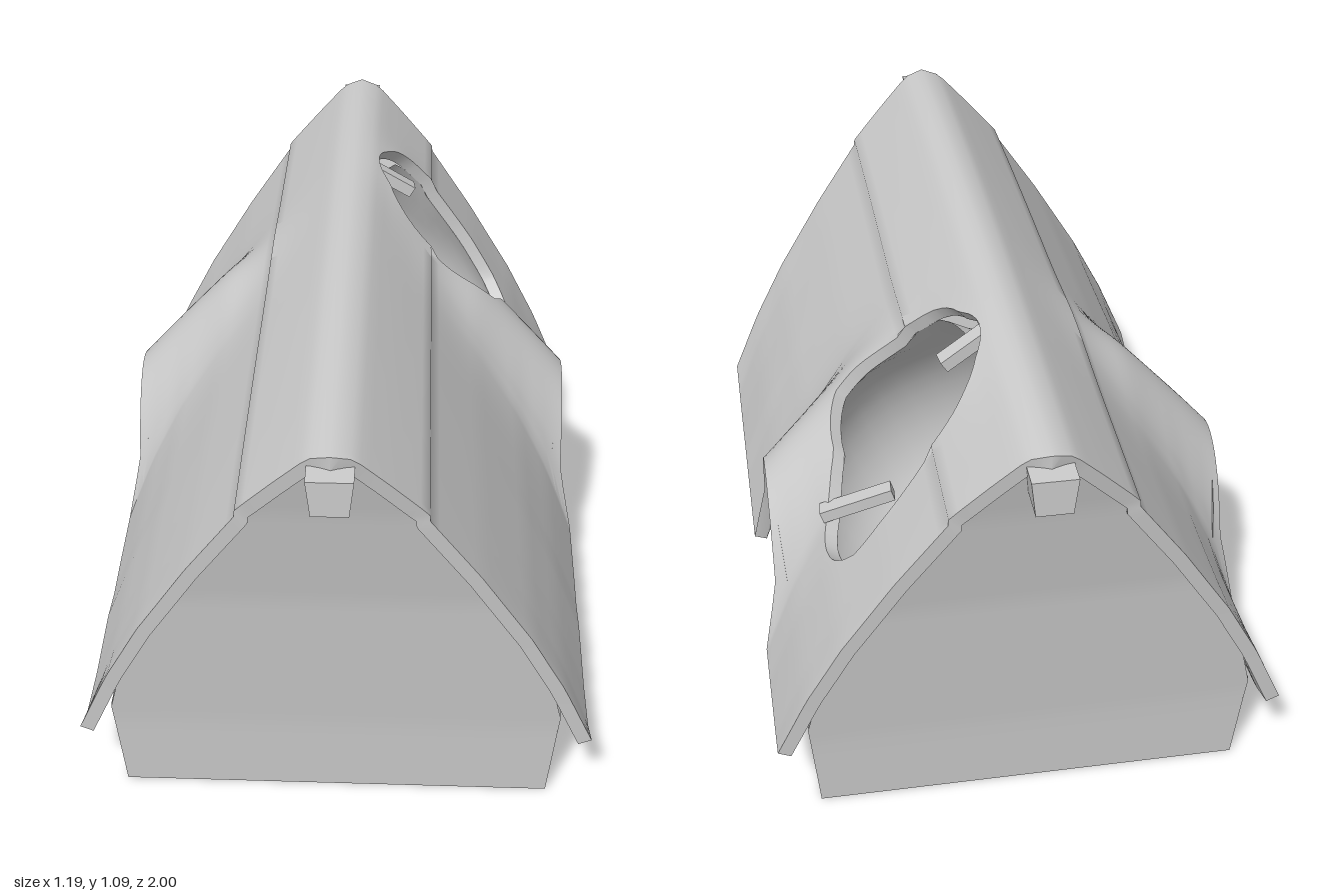
import * as THREE from 'three';
import { toCreasedNormals } from 'three/addons/utils/BufferGeometryUtils.js';

const material = new THREE.MeshStandardMaterial({ color: 0xcccccc, side: THREE.DoubleSide });
const { lerp, clamp, smoothstep } = THREE.MathUtils;

// Linear interpolation through [x, y] pairs
function along(points, x) {
  let k = 1;
  while (k < points.length - 1 && points[k][0] < x) k++;
  const [a, b] = [points[k - 1], points[k]];
  return lerp(a[1], b[1], clamp((x - a[0]) / (b[0] - a[0]), 0, 1));
}

function addMesh(parent, name, geometry) {
  const mesh = new THREE.Mesh(geometry, material);
  mesh.name = name;
  parent.add(mesh);
  return mesh;
}

// Open sheet from a rule (u, v in 0..1) -> [x, y, z]
function sheet(rule, nu, nv) {
  const positions = [], index = [];
  for (let i = 0; i <= nu; i++) for (let j = 0; j <= nv; j++) {
    positions.push(...rule(i / nu, j / nv));
    if (i < nu && j < nv) {
      const a = i * (nv + 1) + j, b = a + nv + 1;
      index.push(a, b, b + 1, a, b + 1, a + 1);
    }
  }
  const g = new THREE.BufferGeometry();
  g.setAttribute('position', new THREE.Float32BufferAttribute(positions, 3));
  g.setIndex(index);
  g.computeVertexNormals();
  return g;
}

// Roof rules: t runs from ridge (0) to eave (1)
const SPAN = 0.595, DOOR_Z = -0.215, THICK = 0.033, CAP = 0.346;
const slope = [[0, 1.048], [0.08, 1.034], [0.2, 0.96], [0.34, 0.87], [0.54, 0.7], [0.74, 0.51], [0.88, 0.35], [1, 0.18]];
const dormer = [[0, 1.078], [0.1, 1.055], [0.33, 0.94], [0.54, 0.83], [1, 0.57]];
const eave = [[-0.83, 0.185], [-0.75, 0.16], [-0.54, 0.14], [-0.42, 0.155], [0, 0.172], [0.2, 0.16],
  [0.3, 0.15], [0.4, 0.158], [0.6, 0.14], [0.74, 0.145], [0.83, 0.18]];
const roofEnd = t => along([[0, 0.96], [0.34, 0.905], [1, 0.83]], t);
const archAt = z => Math.pow(Math.max(0, 1 - ((z - DOOR_Z) / 0.215) ** 2), 0.62);

function profile(t, z) {
  const sag = 0.03 * (1 - (z / 0.96) ** 2) * (1 - t * t);
  const wave = t ** 6 * (along(eave, z) - 0.165);
  const swell = Math.exp(-(((z - DOOR_Z) / 0.19) ** 2)) * smoothstep(t, 0.1, 0.6);
  const w = lerp(swell, archAt(z), t ** 4);
  const cap = t < CAP ? 0.014 : 0;
  return [lerp(SPAN, 0.56, Math.min(1, 2.2 * w) * t * t) * t, lerp(along(slope, t) + sag + wave, along(dormer, t), w) + cap];
}

function roofPoint(s, z, depth) {
  const t = Math.abs(s), side = Math.sign(s);
  const [x, y] = profile(t, z);
  const a = profile(Math.max(0, t - 0.03), z), b = profile(Math.min(1, t + 0.03), z);
  const len = Math.hypot(b[0] - a[0], b[1] - a[1]);
  const nx = t === 0 ? 0 : (a[1] - b[1]) / len, ny = t === 0 ? 1 : (b[0] - a[0]) / len;
  // torn thatch stands up a little above the hole
  const torn = 0.025 * Math.exp(-(((s - 0.23) / 0.1) ** 2) - ((z + 0.43) / 0.18) ** 2);
  return [side * (x - nx * depth), y - ny * depth + torn, z];
}

// Ragged hole in the left slope, given as radii every 30 degrees
const HOLE = { x: 0.26, z: -0.43, radii: [0.17, 0.17, 0.25, 0.24, 0.225, 0.19, 0.197, 0.2, 0.225, 0.232, 0.248, 0.205] };
function holeEdge(angle) {
  const f = ((angle / (Math.PI * 2) + 1) % 1) * 12, k = Math.floor(f) % 12;
  const r = lerp(HOLE.radii[k], HOLE.radii[(k + 1) % 12], f - Math.floor(f));
  return { r, s: (HOLE.x + r * Math.cos(angle)) / SPAN, z: HOLE.z + r * Math.sin(angle) };
}

// Thick roof shell, with the hole's border cells pulled onto its outline
function roofGeometry() {
  const half = [];
  for (let k = 0; k <= 10; k++) half.push(k * 0.0345);
  for (let k = 0; k <= 20; k++) half.push(lerp(0.347, 1, k / 20));
  const cols = [...half.slice(1).reverse().map(t => -t), ...half];
  const rows = 96;
  const points = cols.map(s => Array.from({ length: rows + 1 }, (_, j) => {
    const z = (j / rows * 2 - 1) * roofEnd(Math.abs(s));
    const dx = s * SPAN - HOLE.x, dz = z - HOLE.z;
    const edge = holeEdge(Math.atan2(dz, dx)), inside = Math.hypot(dx, dz) < edge.r;
    const at = inside ? edge : { s, z };
    return { inside, top: roofPoint(at.s, at.z, 0), under: roofPoint(at.s, at.z, THICK) };
  }));
  const kept = (i, j) => i >= 0 && j >= 0 && i < cols.length - 1 && j < rows &&
    ![points[i][j], points[i + 1][j], points[i][j + 1], points[i + 1][j + 1]].every(p => p.inside);
  const out = [];
  const quad = (a, b, c, d) => out.push(...a, ...b, ...c, ...a, ...c, ...d);
  const rim = (p, q) => quad(p.top, q.top, q.under, p.under);
  for (let i = 0; i < cols.length - 1; i++) for (let j = 0; j < rows; j++) {
    if (!kept(i, j)) continue;
    const a = points[i][j], b = points[i + 1][j], c = points[i + 1][j + 1], d = points[i][j + 1];
    quad(a.top, d.top, c.top, b.top);
    quad(a.under, b.under, c.under, d.under);
    if (!kept(i - 1, j)) rim(d, a);
    if (!kept(i + 1, j)) rim(b, c);
    if (!kept(i, j - 1)) rim(a, b);
    if (!kept(i, j + 1)) rim(c, d);
  }
  const g = new THREE.BufferGeometry();
  g.setAttribute('position', new THREE.Float32BufferAttribute(out, 3));
  return toCreasedNormals(g, 0.75);
}

// Rounded hollow hanging from the hole's outline, its top edge level below the ridge beam
function hollowGeometry() {
  const center = new THREE.Vector3(0.13, 0.49, -0.39), low = new THREE.Vector3(-0.4, -0.92, 0).normalize();
  return sheet((u, v) => {
    const edge = holeEdge(u * Math.PI * 2);
    const arm = new THREE.Vector3(...roofPoint(edge.s, edge.z, THICK));
    arm.y = Math.min(arm.y, 0.965);
    arm.sub(center);
    const radius = lerp(arm.length(), 0.39, Math.sqrt(v));
    const turn = arm.normalize().angleTo(low);
    return arm.multiplyScalar(Math.sin((1 - v) * turn)).addScaledVector(low, Math.sin(v * turn))
      .multiplyScalar(radius / Math.sin(turn)).add(center).toArray();
  }, 48, 20);
}

export function createModel() {
  const model = new THREE.Group();
  model.name = 'thatchedHut';
  addMesh(model, 'thatchRoof', roofGeometry());
  addMesh(model, 'hollow', hollowGeometry());

  // Walls: leaning gables at both ends, low sides rising into the door arches
  const gableZ = y => along([[0, 0.793], [0.2, 0.805], [0.6, 0.85], [0.87, 0.9], [1.03, 0.94]], y);
  const gableX = y => along([[0, 0.5], [0.24, 0.522], [0.35, 0.495], [0.51, 0.415], [0.7, 0.295], [0.87, 0.175], [1.02, 0.03]], y);
  for (const side of [1, -1]) {
    addMesh(model, side > 0 ? 'frontGable' : 'backGable', sheet((u, v) => {
      const y = v * 1.02;
      return [side * (u * 2 - 1) * gableX(y), y, side * gableZ(y)];
    }, 8, 34));
    addMesh(model, side > 0 ? 'leftWall' : 'rightWall', sheet((u, v) => {
      const z = (u * 2 - 1) * 0.793, arch = archAt(DOOR_Z + (z - DOOR_Z) * 0.94);
      const y = v * (0.25 + 0.305 * arch);
      return [side * (0.5 + 0.085 * y), y, (u * 2 - 1) * gableZ(Math.min(y, 0.24))];
    }, 120, 6));
  }

  // Ridge beam, tapered downward and bowed along its length
  const beam = new THREE.BoxGeometry(0.1, 0.085, 2, 1, 1, 12);
  const p = beam.attributes.position;
  for (let i = 0; i < p.count; i++) {
    if (p.getY(i) < 0) p.setX(i, p.getX(i) * 0.8);
    p.setY(i, p.getY(i) + 0.985 + 0.025 * (1 - p.getZ(i) ** 2));
  }
  beam.computeVertexNormals();
  addMesh(model, 'ridgeBeam', beam);

  // Broken rafter stubs across the hole
  for (const [x0, y0, x1, y1, tilt] of [[0.04, 1.04, 0.15, 0.97, 0.12], [0.27, 0.625, 0.44, 0.57, -0.06]]) {
    const stub = addMesh(model, 'brokenRafter', new THREE.BoxGeometry(Math.hypot(x1 - x0, y1 - y0), 0.03, 0.04));
    stub.position.set((x0 + x1) / 2, (y0 + y1) / 2, -0.435);
    stub.rotation.set(0, tilt, Math.atan2(y1 - y0, x1 - x0));
  }
  return model;
}
